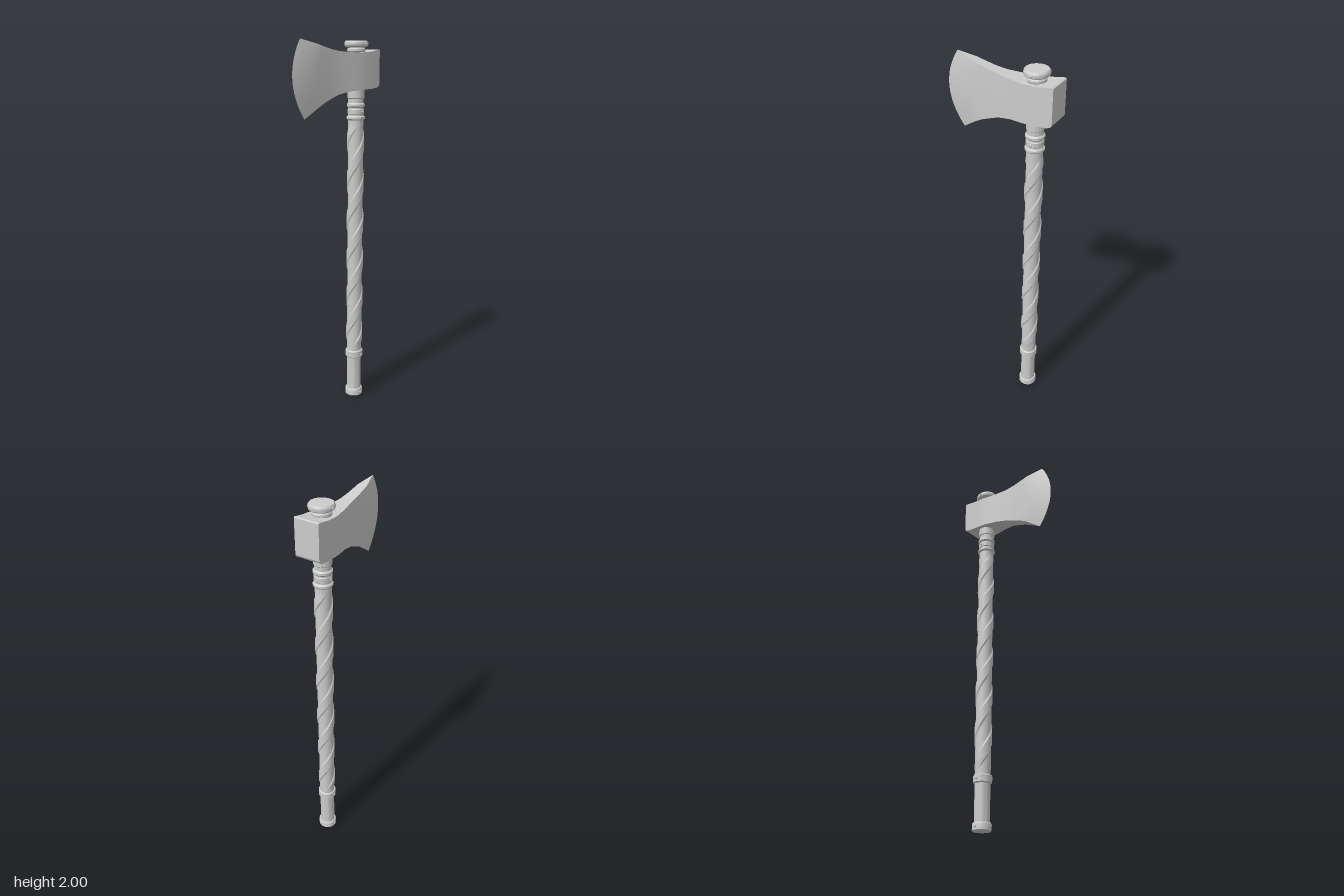
import * as THREE from 'three';
import { toCreasedNormals } from 'three/addons/utils/BufferGeometryUtils.js';

const AXIS_Z = -0.18; // the haft stands behind the centre

// Axe head lofted along z: [z top, z bottom, forward bulge, y top, y bottom, half width]
function headGeometry() {
  const stations = [
    [-0.295, -0.295, 0, 1.95, 1.775, 0.066],
    [-0.288, -0.288, 0, 1.954, 1.764, 0.067],
    [-0.27, -0.27, 0, 1.951, 1.757, 0.067],
    [-0.23, -0.23, 0, 1.944, 1.753, 0.067],
    [-0.18, -0.18, 0, 1.94, 1.75, 0.066],
    [-0.14, -0.14, 0, 1.938, 1.748, 0.062],
    [-0.07, -0.07, 0, 1.939, 1.743, 0.048],
    [0.0, 0.0, 0.005, 1.945, 1.729, 0.035],
    [0.05, 0.045, 0.02, 1.953, 1.712, 0.031],
    [0.1, 0.09, 0.042, 1.965, 1.694, 0.0275],
    [0.15, 0.13, 0.068, 1.978, 1.673, 0.024],
    [0.24, 0.215, 0.068, 2.0, 1.615, 0],
  ];
  const rows = 12, ring = 2 * (rows + 1);
  const pos = [], index = [];
  for (const [zt, zb, bulge, yt, yb, w] of stations) {
    for (let j = 0; j < ring; j++) {
      const t = (j <= rows ? j : ring - 1 - j) / rows;
      pos.push(j <= rows ? w : -w, yb + (yt - yb) * t, zb + (zt - zb) * t + bulge * 4 * t * (1 - t));
    }
  }
  for (let i = 0; i < stations.length - 1; i++) {
    for (let j = 0; j < ring; j++) {
      const a = i * ring + j, b = i * ring + (j + 1) % ring;
      index.push(a, b, a + ring, b, b + ring, a + ring);
    }
  }
  // flat poll at the back
  for (let j = 0; j < rows; j++) {
    const p = j, q = ring - 1 - j;
    index.push(p, q, p + 1, q, q - 1, p + 1);
  }
  const g = new THREE.BufferGeometry();
  g.setAttribute('position', new THREE.Float32BufferAttribute(pos, 3));
  g.setIndex(index);
  return toCreasedNormals(g, 0.4);
}

// Shaft with two raised straps twisted around it
function wrappedShaft(y0, y1) {
  const h = y1 - y0, pitch = 0.44;
  const g = new THREE.CylinderGeometry(1, 1, h, 36, 110, true);
  const p = g.attributes.position;
  for (let i = 0; i < p.count; i++) {
    const y = p.getY(i) + (y0 + y1) / 2;
    const angle = Math.atan2(p.getX(i), p.getZ(i));
    const inset = Math.min(y - y0, y1 - y);
    const fade = THREE.MathUtils.smoothstep(inset, 0.03, 0.09);
    const raised = Math.abs(Math.cos(angle)) > 0.78 ? 0.0055 * fade : 0;
    const r = 0.0405 + raised, turned = angle + (y / pitch) * Math.PI * 2;
    p.setXYZ(i, r * Math.sin(turned), y, r * Math.cos(turned));
  }
  return toCreasedNormals(g, 0.35);
}

function lathe(points, sides = 24) {
  return toCreasedNormals(new THREE.LatheGeometry(points.map(([r, y]) => new THREE.Vector2(r, y)), sides), 0.6);
}

// Bevelled band around the haft
function band(r, y0, y1, c = 0.005) {
  return lathe([[0.036, y0], [r - c, y0], [r, y0 + c], [r, y1 - c], [r - c, y1], [0.036, y1]]);
}

export function createModel() {
  const model = new THREE.Group();
  model.name = 'battleAxe';
  const grey = new THREE.MeshStandardMaterial({ color: 0xcccccc });
  grey.name = 'plain grey';

  const add = (parent, name, geometry) => {
    const mesh = new THREE.Mesh(geometry, grey);
    mesh.name = name;
    parent.add(mesh);
    return mesh;
  };

  add(model, 'axeHead', headGeometry());

  const haft = new THREE.Group();
  haft.name = 'haft';
  haft.position.z = AXIS_Z;
  model.add(haft);

  // grip and shaft
  add(haft, 'grip', lathe([[0.04, 0.03], [0.04, 0.25]]));
  add(haft, 'wrappedShaft', wrappedShaft(0.265, 1.6));
  add(haft, 'neck', lathe([[0.041, 1.6], [0.041, 1.965]]));

  // pommel and bands
  add(haft, 'pommel', lathe([[0, 0], [0.045, 0], [0.049, 0.005], [0.049, 0.036], [0.045, 0.042], [0.036, 0.042]]));
  add(haft, 'gripBand', band(0.049, 0.235, 0.278));
  add(haft, 'lowerCollar', band(0.049, 1.59, 1.614, 0.007));
  add(haft, 'middleCollar', band(0.044, 1.62, 1.65, 0.004));
  add(haft, 'upperCollar', band(0.048, 1.655, 1.682, 0.008));
  add(haft, 'headSeat', band(0.045, 1.7, 1.755, 0.006));

  // mushroom cap above the head
  add(haft, 'topCap', lathe([
    [0.041, 1.935], [0.048, 1.945], [0.048, 1.955], [0.043, 1.962], [0.053, 1.966],
    [0.061, 1.972], [0.063, 1.98], [0.062, 1.99], [0.056, 1.998], [0, 2.0],
  ], 20));

  // rivets on both sides of the bands
  for (const [r, y] of [[0.049, 0.021], [0.049, 0.256], [0.044, 1.635], [0.062, 1.981]]) {
    for (const side of [-1, 1]) {
      const rivet = add(haft, 'rivet', new THREE.SphereGeometry(0.006, 10, 8));
      rivet.position.set(side * r, y, 0);
    }
  }
  return model;
}
